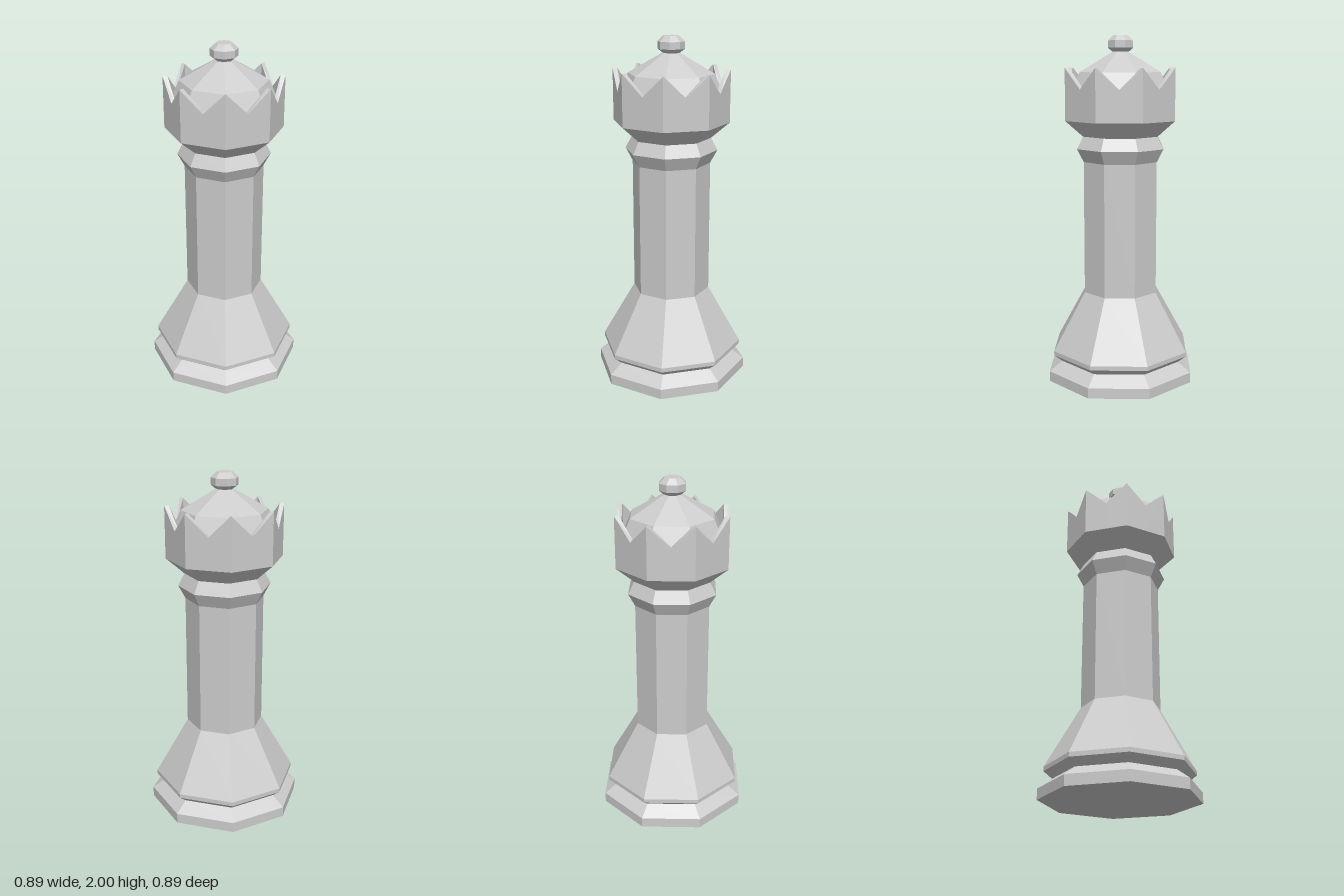
import * as THREE from 'three';

const SIDES = 8;
const material = new THREE.MeshStandardMaterial({ color: 0xcccccc, flatShading: true });

// Faceted turned part from a [radius, height] profile, listed bottom to top
function turned(name, profile) {
  const points = profile.map(([r, y]) => new THREE.Vector2(r, y));
  const geometry = new THREE.LatheGeometry(points, SIDES).toNonIndexed();
  geometry.computeVertexNormals();
  const mesh = new THREE.Mesh(geometry, material);
  mesh.name = name;
  return mesh;
}

// Octagonal wall with a peak at each corner and a notch midway along each side
function crownWall({ outer, inner, bottom, floor, peak, notch }) {
  const positions = [];
  const columns = SIDES * 2;
  const column = (i) => {
    const corner = i % 2 === 0;
    const angle = (i / columns) * Math.PI * 2;
    const k = corner ? 1 : Math.cos(Math.PI / SIDES);
    const top = corner ? peak : notch;
    const at = (r, y) => [r * k * Math.sin(angle), y, r * k * Math.cos(angle)];
    return [at(outer, bottom), at(outer, top), at(inner, top), at(inner, floor)];
  };
  for (let i = 0; i < columns; i++) {
    const a = column(i), b = column(i + 1);
    // outer face, top edge, inner face
    for (let j = 0; j < 3; j++) {
      positions.push(...a[j], ...b[j], ...b[j + 1], ...a[j], ...b[j + 1], ...a[j + 1]);
    }
  }
  const geometry = new THREE.BufferGeometry();
  geometry.setAttribute('position', new THREE.Float32BufferAttribute(positions, 3));
  geometry.computeVertexNormals();
  const mesh = new THREE.Mesh(geometry, material);
  mesh.name = 'crownWall';
  return mesh;
}

export function createModel() {
  const group = new THREE.Group();
  group.name = 'chessQueen';

  group.add(
    // Foot with a pinched groove above it
    turned('base', [[0, 0], [0.447, 0], [0.447, 0.06], [0.37, 0.115], [0.418, 0.155], [0.418, 0.18]]),
    // Flared skirt and straight shaft
    turned('shaft', [[0.418, 0.18], [0.225, 0.52], [0.225, 1.29]]),
    // Collar and underside of the crown
    turned('collar', [[0.225, 1.29], [0.265, 1.365], [0.228, 1.435], [0.332, 1.525]]),
    crownWall({ outer: 0.332, inner: 0.305, bottom: 1.525, floor: 1.66, peak: 1.82, notch: 1.703 }),
    // Dome inside the crown
    turned('dome', [[0.305, 1.66], [0.245, 1.795], [0.045, 1.91]]),
    // Ball on top
    turned('finial', [[0.045, 1.905], [0.077, 1.93], [0.077, 1.97], [0.045, 2], [0, 2]])
  );
  return group;
}
